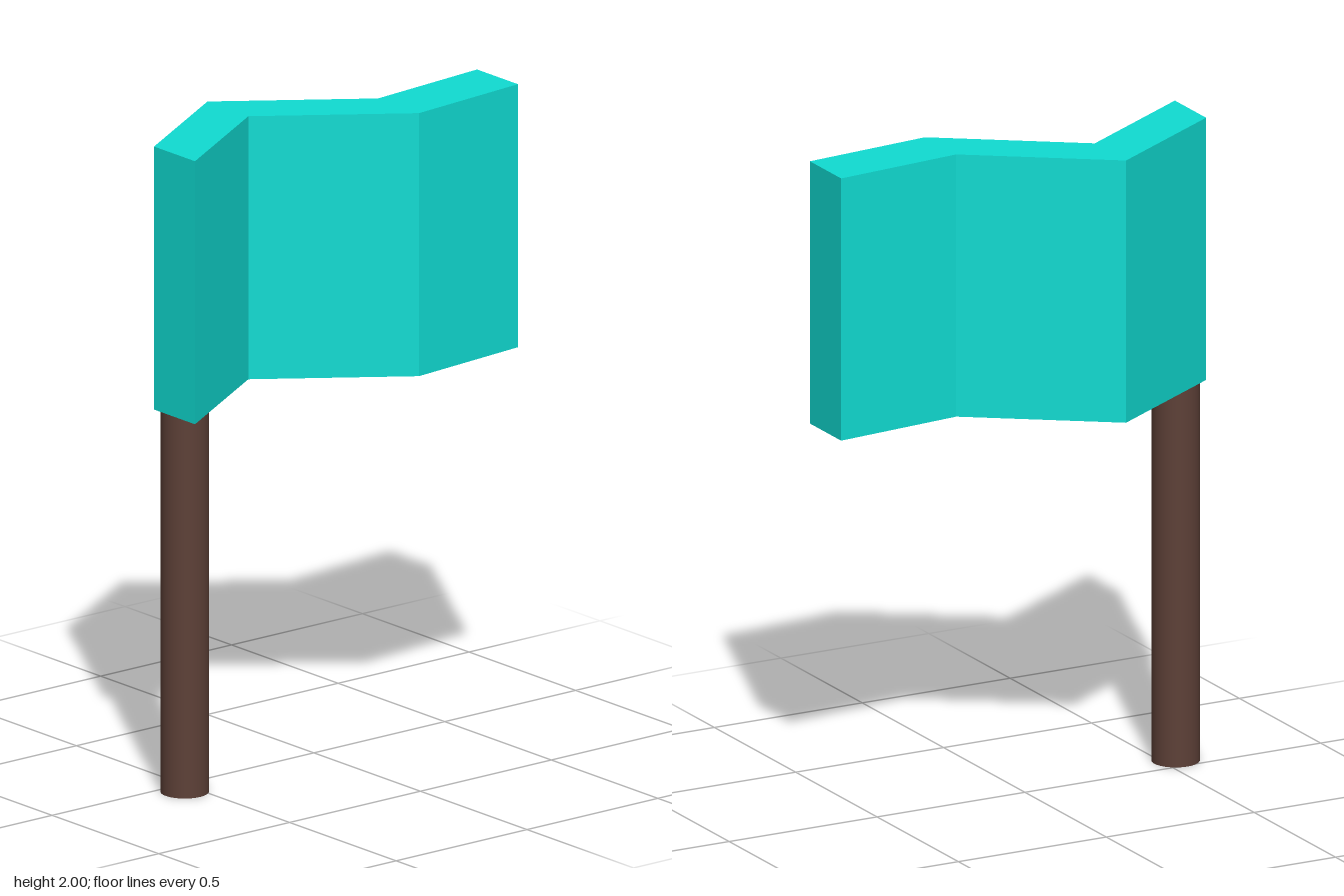
import * as THREE from 'three';

export function createModel() {
  const model = new THREE.Group();
  const flagBottom = 1.185, flagTop = 2, thickness = 0.192;

  // Pole: smooth round post under the flag's outer end
  const pole = new THREE.Mesh(
    new THREE.CylinderGeometry(0.072, 0.072, flagBottom, 32),
    new THREE.MeshStandardMaterial({ color: 0x5d4037 })
  );
  pole.name = 'pole';
  pole.position.set(-0.543, flagBottom / 2, 0.061);
  model.add(pole);

  // Flag: zigzag outline in plan (x, back z), thickened towards +z
  const back = [[-0.617, 0.008], [-0.207, -0.245], [0.205, 0.05], [0.617, 0.008]];
  const front = back.map(([x, z]) => [x, z + thickness]).reverse();
  const outline = new THREE.Shape([...back, ...front].map(([x, z]) => new THREE.Vector2(x, z)));
  const cloth = new THREE.ExtrudeGeometry(outline, { depth: flagTop - flagBottom, bevelEnabled: false });
  cloth.rotateX(Math.PI / 2); // plan y becomes z, depth runs downwards
  const flag = new THREE.Mesh(
    cloth,
    new THREE.MeshStandardMaterial({ color: 0x10dcd3, flatShading: true })
  );
  flag.name = 'flag';
  flag.position.y = flagTop;
  model.add(flag);

  return model;
}
